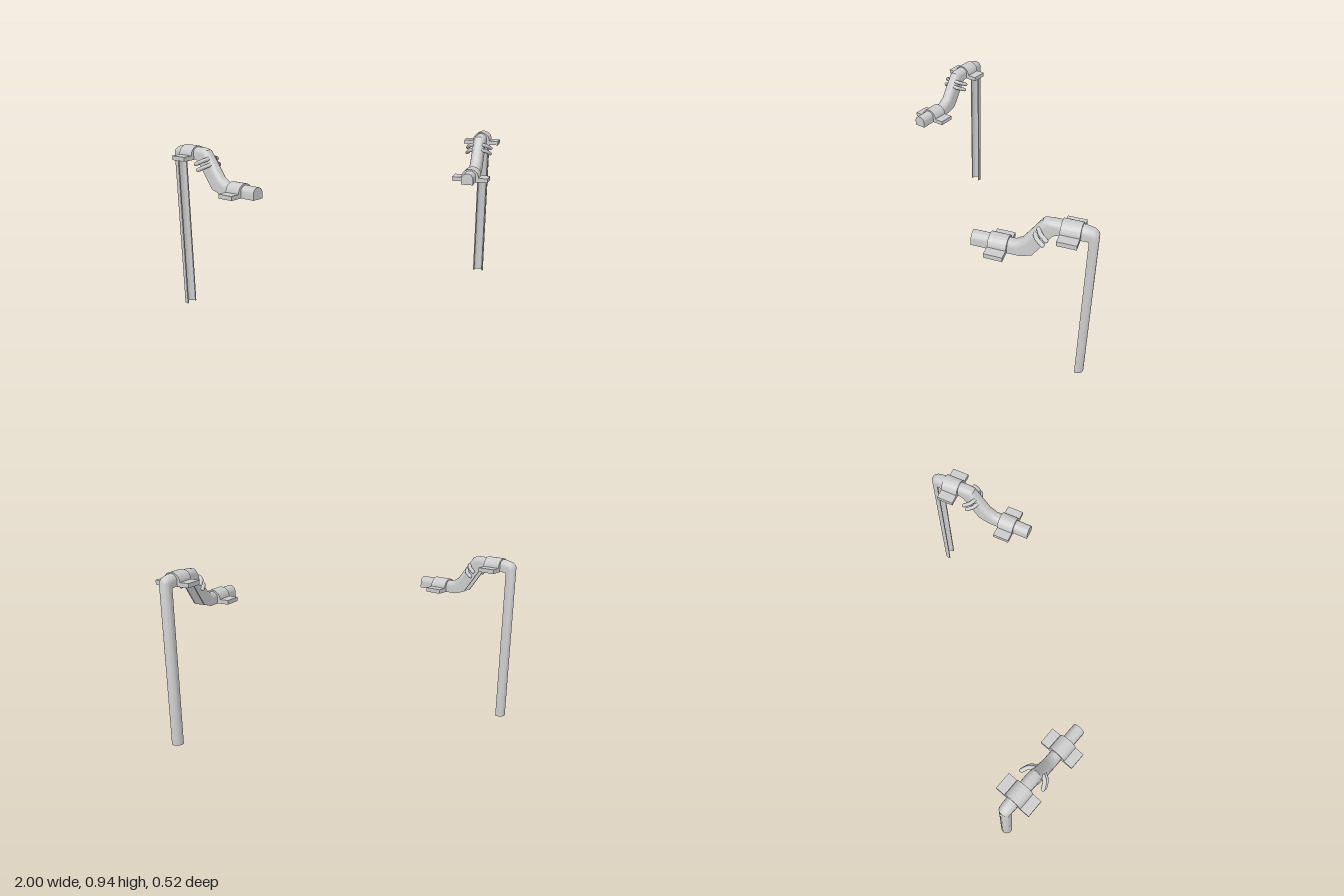
import * as THREE from 'three';
import { toCreasedNormals } from 'three/addons/utils/BufferGeometryUtils.js';

const material = new THREE.MeshStandardMaterial({ color: 0xcccccc, side: THREE.DoubleSide });
const ARC = 12;    // segments over the arch of the channel
const WALL = 0.007;

// Stations of the channel: crown [z, y], open edge [z, y], half width
const STATIONS = [
  [-0.314, 0, -0.272, 0, 0.032],
  [-0.314, 0.903, -0.272, 0.87, 0.032],
  [-0.308, 0.915, -0.27, 0.871, 0.032],
  [-0.29, 0.929, -0.265, 0.872, 0.033],
  [-0.25, 0.938, -0.245, 0.872, 0.034],
  [-0.085, 0.938, -0.125, 0.872, 0.034],
  [-0.05, 0.93, -0.105, 0.862, 0.034],
  [0.045, 0.793, -0.011, 0.722, 0.034],
  [0.085, 0.768, 0.05, 0.702, 0.034],
  [0.297, 0.767, 0.297, 0.702, 0.034],
];

function mesh(name, geometry) {
  const m = new THREE.Mesh(geometry, material);
  m.name = name;
  return m;
}

// One arch from the left edge over the crown to the right edge
function arch(r, h) {
  const spring = Math.max(h - r, 0.007);
  const points = [[-r, 0]];
  for (let i = 0; i <= ARC; i++) {
    const a = Math.PI * (1 - i / ARC);
    points.push([r * Math.cos(a), spring + (h - spring) * Math.sin(a)]);
  }
  points.push([r, 0]);
  return points;
}

// Hollow U channel swept through the stations
function channelGeometry() {
  const positions = [], index = [];
  const half = ARC + 3, ring = half * 2;
  for (const [tz, ty, bz, by, r] of STATIONS) {
    const h = Math.hypot(tz - bz, ty - by);
    const uz = (tz - bz) / h, uy = (ty - by) / h;
    const loop = [...arch(r, h), ...arch(r - WALL, h - WALL).reverse()];
    for (const [x, v] of loop) positions.push(x, by + uy * v, bz + uz * v);
  }
  for (let s = 0; s < STATIONS.length - 1; s++) {
    for (let k = 0; k < ring; k++) {
      const a = s * ring + k, b = s * ring + (k + 1) % ring;
      const c = a + ring, d = b + ring;
      index.push(a, c, b, b, c, d);
    }
  }
  // rim at the foot, closed cap at the tip
  const tip = (STATIONS.length - 1) * ring;
  for (let k = 0; k < half - 1; k++) {
    const inner = ring - 1 - k;
    index.push(k, k + 1, inner, k + 1, inner - 1, inner);
    if (k > 0) index.push(tip, tip + k + 1, tip + k);
  }
  const g = new THREE.BufferGeometry();
  g.setAttribute('position', new THREE.Float32BufferAttribute(positions, 3));
  g.setIndex(index);
  return toCreasedNormals(g, 0.6);
}

// Saddle clamp: arched strap with a flat foot on each side
function clampGeometry() {
  const length = 0.095, foot = 0.024;
  const s = new THREE.Shape();
  s.moveTo(-0.104, 0);
  s.lineTo(-0.104, foot);
  s.lineTo(-0.051, foot);
  s.absellipse(0, foot, 0.051, 0.05, Math.PI, 0, true);
  s.lineTo(0.104, foot);
  s.lineTo(0.104, 0);
  s.lineTo(0.033, 0);
  s.lineTo(0.033, 0.03);
  s.absellipse(0, 0.03, 0.033, 0.032, 0, Math.PI, false);
  s.lineTo(-0.033, 0);
  const g = new THREE.ExtrudeGeometry(s, { depth: length, bevelEnabled: false, curveSegments: 12 });
  g.translate(0, 0, -length / 2);
  return toCreasedNormals(g, 0.6);
}

// Curved prong with a rounded end
function prong(side, dy, dz) {
  const group = new THREE.Group();
  group.name = 'prong';
  const points = [[0.022, 0.885, -0.035], [0.05, 0.876, -0.05], [0.07, 0.858, -0.085]]
    .map(([x, y, z]) => new THREE.Vector3(side * x, y + dy, z + dz));
  const curve = new THREE.CatmullRomCurve3(points);
  const end = mesh('prongEnd', new THREE.SphereGeometry(0.011, 10, 8));
  end.position.copy(points[2]);
  group.add(mesh('prongArm', new THREE.TubeGeometry(curve, 8, 0.011, 10, false)), end);
  return group;
}

function createArm(side) {
  const arm = new THREE.Group();
  arm.name = side > 0 ? 'leftArm' : 'rightArm';
  arm.add(mesh('channel', channelGeometry()));
  for (const [name, y, z] of [['upperClamp', 0.87, -0.187], ['lowerClamp', 0.702, 0.16]]) {
    const clamp = mesh(name, clampGeometry());
    clamp.position.set(0, y, z);
    arm.add(clamp);
  }
  for (const s of [-1, 1]) arm.add(prong(s, 0, 0), prong(s, -0.03, 0.016));
  // both arms turn inwards towards the front
  arm.position.x = side * 0.776;
  arm.rotation.y = -side * 0.6435;
  return arm;
}

export function createModel() {
  const model = new THREE.Group();
  model.name = 'channelArms';
  model.add(createArm(1), createArm(-1));
  return model;
}
